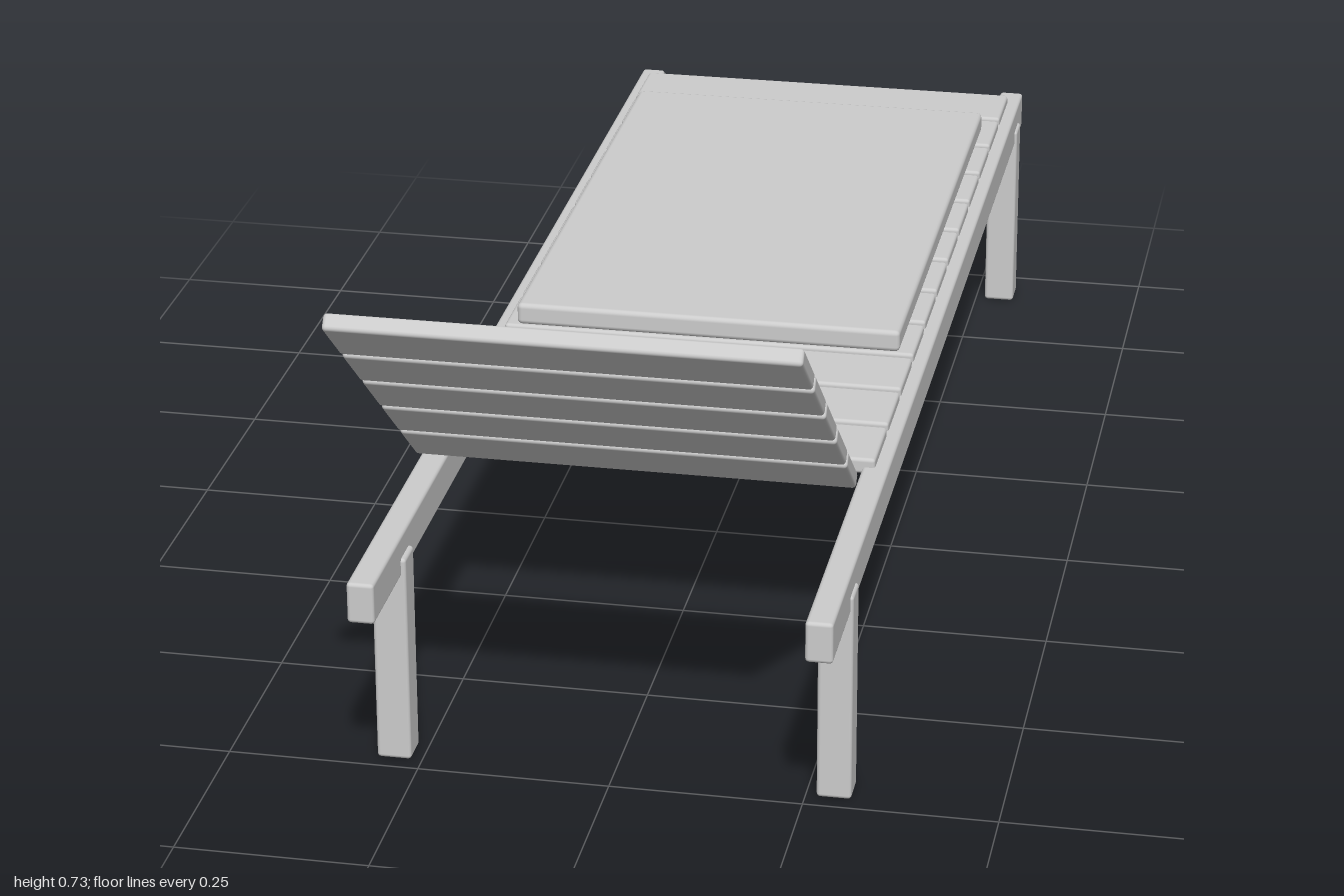
import * as THREE from 'three';
import { RoundedBoxGeometry } from 'three/addons/geometries/RoundedBoxGeometry.js';

export function createModel() {
  const model = new THREE.Group();
  model.name = 'sunLounger';
  const paleGrey = new THREE.MeshStandardMaterial({ color: 0xcccccc });
  paleGrey.name = 'paleGrey';

  // softly rounded board, given by its size and centre
  function board(parent, name, size, centre, radius = 0.005) {
    const mesh = new THREE.Mesh(new RoundedBoxGeometry(...size, 2, radius), paleGrey);
    mesh.name = name;
    mesh.position.set(...centre);
    parent.add(mesh);
  }

  // side rails and legs
  for (const side of [1, -1]) {
    const prefix = side > 0 ? 'left' : 'right';
    board(model, prefix + 'Rail', [0.035, 0.055, 1.865], [side * 0.2875, 0.2895, -0.0675]);
    board(model, prefix + 'FrontLeg', [0.045, 0.287, 0.045], [side * 0.2865, 0.1435, 0.707]);
    board(model, prefix + 'BackLeg', [0.045, 0.287, 0.045], [side * 0.2865, 0.1435, -0.927]);
  }

  // flat slatted deck
  const deck = new THREE.Group();
  deck.name = 'deck';
  for (let i = 0; i < 12; i++) {
    board(deck, 'deckSlat', [0.574, 0.022, 0.105], [0, 0.318, 0.363 - i * 0.115]);
  }
  model.add(deck);

  // thin mattress
  board(model, 'cushion', [0.536, 0.031, 0.86], [0, 0.347, -0.355], 0.007);

  // tilted backrest, rising towards the front
  const backrest = new THREE.Group();
  backrest.name = 'backrest';
  for (let i = -2; i <= 2; i++) {
    board(backrest, 'backrestSlat', [0.574, 0.022, 0.103], [0, 0, i * 0.1125]);
  }
  backrest.position.set(0, 0.548, 0.78);
  backrest.rotation.x = -THREE.MathUtils.degToRad(40);
  model.add(backrest);

  return model;
}
